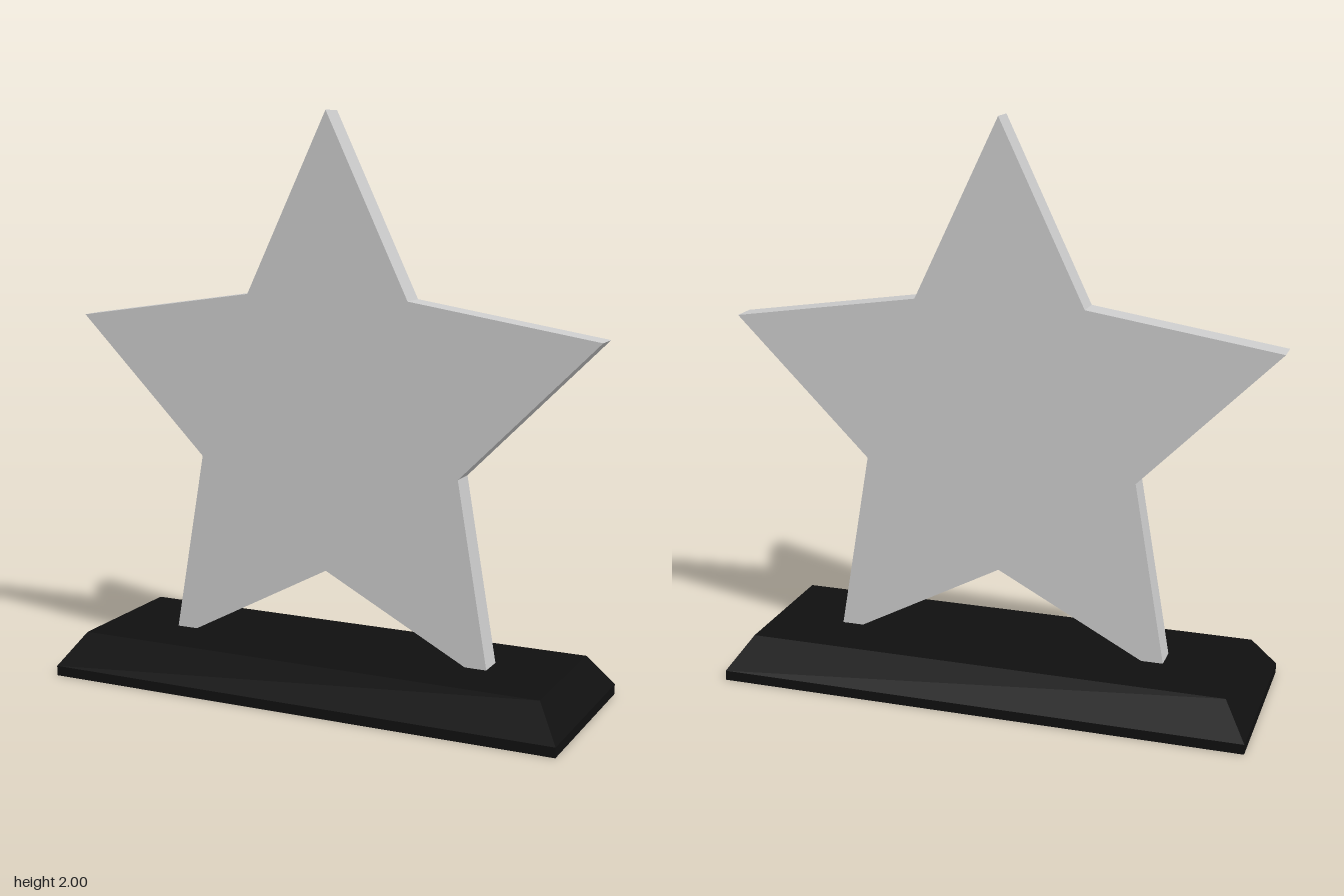
import * as THREE from 'three';

// Flat five-pointed star; the lower tips sink into the plinth
function createStar() {
  const half = [[0.3, 1.375], [0.967, 1.273], [0.485, 0.79], [0.603, 0.105]];
  const outline = [
    [0, 2], ...half, [0, 0.425],
    ...half.slice().reverse().map(([x, y]) => [-x, y]),
  ].reverse();
  const shape = new THREE.Shape(outline.map(([x, y]) => new THREE.Vector2(x, y)));
  const thickness = 0.09;
  const geometry = new THREE.ExtrudeGeometry(shape, { depth: thickness, bevelEnabled: false });
  geometry.translate(0, 0, -thickness / 2);
  const star = new THREE.Mesh(geometry, new THREE.MeshStandardMaterial({ color: 0xcccccc, flatShading: true }));
  star.name = 'star';
  return star;
}

// Plinth with a low vertical rim and sides sloping in to the top
function createBase() {
  const rimHeight = 0.035, height = 0.15, inset = 0.08;
  const box = new THREE.BoxGeometry(1.864, 1, 0.664, 1, 2, 1);
  const pos = box.attributes.position;
  for (let i = 0; i < pos.count; i++) {
    const x = pos.getX(i), y = pos.getY(i), z = pos.getZ(i);
    const d = y > 0.25 ? inset : 0;
    const newY = y > 0.25 ? height : y > -0.25 ? rimHeight : 0;
    pos.setXYZ(i, x - Math.sign(x) * d, newY, z - Math.sign(z) * d);
  }
  const geometry = box.toNonIndexed();
  geometry.computeVertexNormals();
  const base = new THREE.Mesh(geometry, new THREE.MeshStandardMaterial({ color: 0x101010, flatShading: true }));
  base.name = 'base';
  return base;
}

export function createModel() {
  const model = new THREE.Group();
  model.name = 'starTrophy';
  model.add(createBase(), createStar());
  return model;
}
